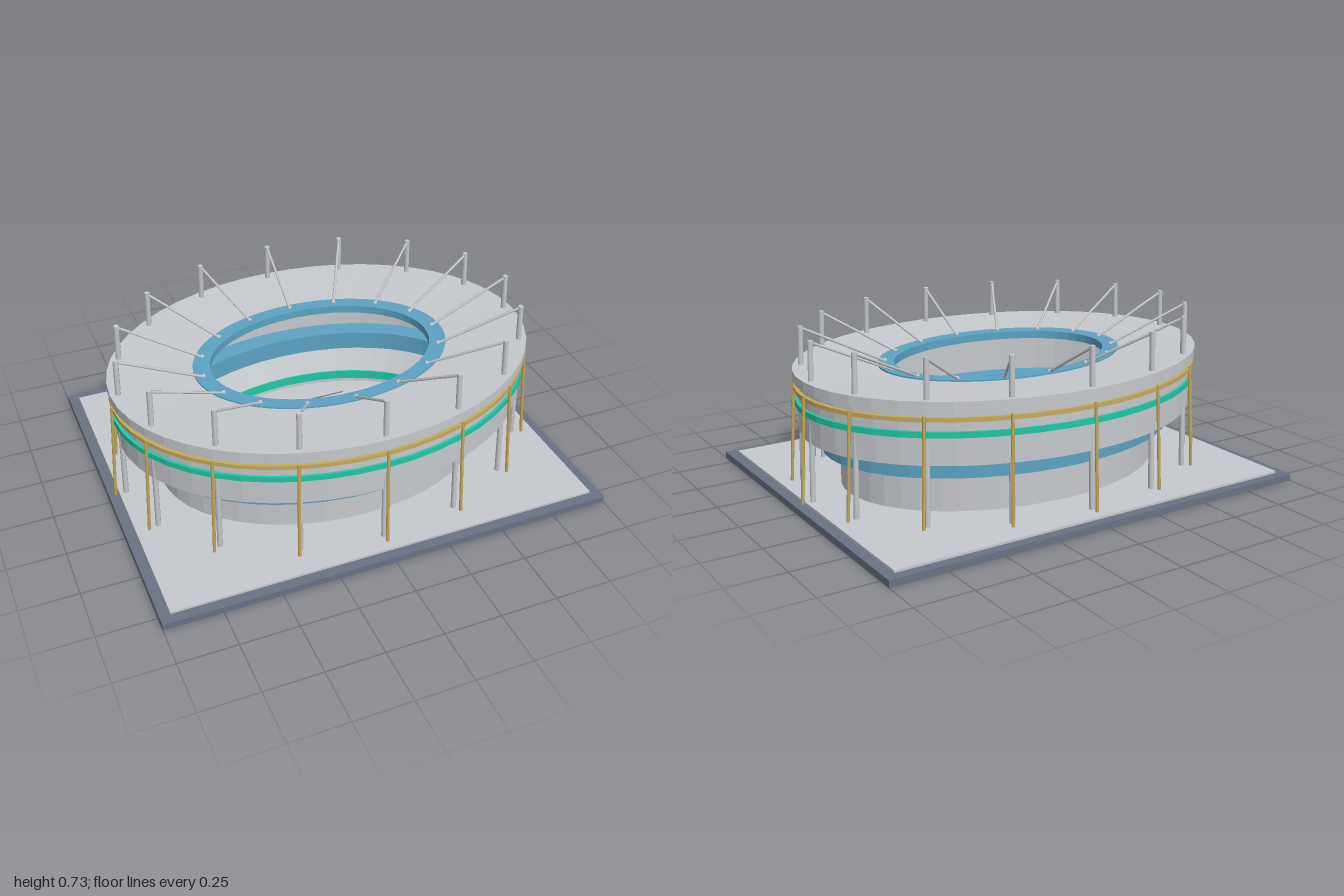
import * as THREE from 'three';

const mat = (name, color) => {
  const m = new THREE.MeshStandardMaterial({ color });
  m.name = name;
  return m;
};

export function createModel() {
  const model = new THREE.Group();
  model.name = 'stadium';
  const concrete = mat('concrete', 0xc6c9cd);
  const slate = mat('slate', 0x687385);
  const blue = mat('blue', 0x5ca3c3);
  const teal = mat('teal', 0x1fc8a6);
  const gold = mat('gold', 0xc6ab5c);
  const green = mat('grass', 0x5aa87c);
  const white = mat('lineGrey', 0xcdd0d3);
  const brown = mat('trackBrown', 0x87716f);
  const dark = mat('darkSteel', 0x555b62);

  const add = (name, geo, material, x = 0, y = 0, z = 0, parent = model) => {
    const mesh = new THREE.Mesh(geo, material);
    mesh.name = name;
    mesh.position.set(x, y, z);
    parent.add(mesh);
    return mesh;
  };
  const box = (name, w, h, d, material, x, y, z, parent) =>
    add(name, new THREE.BoxGeometry(w, h, d), material, x, y, z, parent);

  // Faceted oval ring swept from a closed profile of [rx, rz, y]:
  // up the outside, then down the inside
  const ovalSweep = (name, profile, material, segments = 48) => {
    const pos = [];
    const point = (i, j) => {
      const [rx, rz, y] = profile[j % profile.length];
      const t = ((i % segments) / segments) * Math.PI * 2;
      return [rx * Math.cos(t), y, rz * Math.sin(t)];
    };
    for (let i = 0; i < segments; i++) {
      for (let j = 0; j < profile.length; j++) {
        const a = point(i, j), b = point(i, j + 1);
        const c = point(i + 1, j), d = point(i + 1, j + 1);
        pos.push(...a, ...b, ...c, ...c, ...b, ...d);
      }
    }
    const geo = new THREE.BufferGeometry();
    geo.setAttribute('position', new THREE.Float32BufferAttribute(pos, 3));
    geo.computeVertexNormals();
    return add(name, geo, material);
  };
  const wall = (name, rx, rz, y0, y1, thick, material) =>
    ovalSweep(name, [[rx, rz, y0], [rx, rz, y1],
      [rx - thick, rz - thick, y1], [rx - thick, rz - thick, y0]], material);

  // Straight bar between two points
  const bar = (name, from, to, radius, material, parent, sides = 8) => {
    const dir = to.clone().sub(from);
    const mesh = add(name, new THREE.CylinderGeometry(radius, radius, dir.length(), sides), material, 0, 0, 0, parent);
    mesh.position.copy(from).add(to).multiplyScalar(0.5);
    mesh.quaternion.setFromUnitVectors(new THREE.Vector3(0, 1, 0), dir.normalize());
    return mesh;
  };

  // Ground
  box('base', 2, 0.03, 1.64, slate, 0, 0.015, 0);
  box('plaza', 1.91, 0.01, 1.55, concrete, 0, 0.035, 0);

  // Stacked oval tiers
  wall('lowerWall', 0.755, 0.535, 0.04, 0.21, 0.02, concrete);
  wall('blueTier', 0.835, 0.6, 0.208, 0.295, 0.1, blue);
  wall('upperTier', 0.925, 0.69, 0.293, 0.52, 0.1, concrete);
  wall('tealBand', 0.94, 0.7, 0.41, 0.435, 0.02, teal);
  wall('goldBand', 0.943, 0.703, 0.475, 0.493, 0.02, gold);

  // Seating slope and the bright board around its foot
  ovalSweep('seating', [[0.735, 0.515, 0.04], [0.735, 0.515, 0.21],
    [0.67, 0.465, 0.1], [0.67, 0.465, 0.04]], concrete);
  wall('perimeterBoard', 0.67, 0.465, 0.06, 0.102, 0.006, teal);

  // Roof with a blue rim around the opening
  ovalSweep('roof', [[0.945, 0.71, 0.517], [0.945, 0.71, 0.56],
    [0.56, 0.39, 0.545], [0.56, 0.39, 0.52]], concrete);
  ovalSweep('roofRim', [[0.575, 0.405, 0.515], [0.575, 0.405, 0.552],
    [0.5, 0.345, 0.55], [0.5, 0.345, 0.515]], blue);

  // Pitch and markings
  const pitch = new THREE.Group();
  pitch.name = 'pitch';
  model.add(pitch);
  box('grass', 1, 0.006, 0.61, green, 0, 0.043, 0, pitch);
  box('halfwayLine', 0.014, 0.003, 0.64, white, 0, 0.0475, 0, pitch);
  const circle = add('centreCircle', new THREE.RingGeometry(0.083, 0.095, 40), white, 0, 0.049, 0, pitch);
  circle.rotation.x = -Math.PI / 2;
  for (const s of [-1, 1]) {
    box('sideLine', 0.92, 0.004, 0.014, white, 0, 0.046, s * 0.311, pitch);
    box('sideTrack', 0.5, 0.004, 0.012, brown, 0, 0.042, s * 0.327, pitch);
    box('goalArea', 0.155, 0.003, 0.29, white, s * 0.3825, 0.0475, 0, pitch);
    // Goal frame
    const goal = new THREE.Group();
    goal.name = 'goal';
    pitch.add(goal);
    box('crossbar', 0.008, 0.008, 0.148, dark, s * 0.465, 0.095, 0, goal);
    for (const e of [-1, 1]) {
      box('post', 0.008, 0.05, 0.008, dark, s * 0.465, 0.07, e * 0.07, goal);
      box('topStay', 0.03, 0.006, 0.006, dark, s * 0.48, 0.095, e * 0.07, goal);
    }
  }

  // Sixteen masts, each with a roof stay and a slim outer strut
  for (let i = 0; i < 16; i++) {
    const t = (i / 16) * Math.PI * 2;
    const at = (rx, rz, y) => new THREE.Vector3(rx * Math.cos(t), y, rz * Math.sin(t));
    const support = new THREE.Group();
    support.name = 'roofSupport';
    model.add(support);
    bar('mast', at(0.925, 0.69, 0.04), at(0.905, 0.67, 0.725), 0.012, concrete, support);
    bar('roofStay', at(0.905, 0.67, 0.718), at(0.54, 0.38, 0.55), 0.006, concrete, support, 6);
    add('stayAnchor', new THREE.SphereGeometry(0.01, 8, 6), concrete, ...at(0.54, 0.38, 0.552).toArray(), support);
    bar('outerStrut', at(0.972, 0.727, 0.04), at(0.943, 0.703, 0.5), 0.007, gold, support, 6);
  }
  return model;
}
